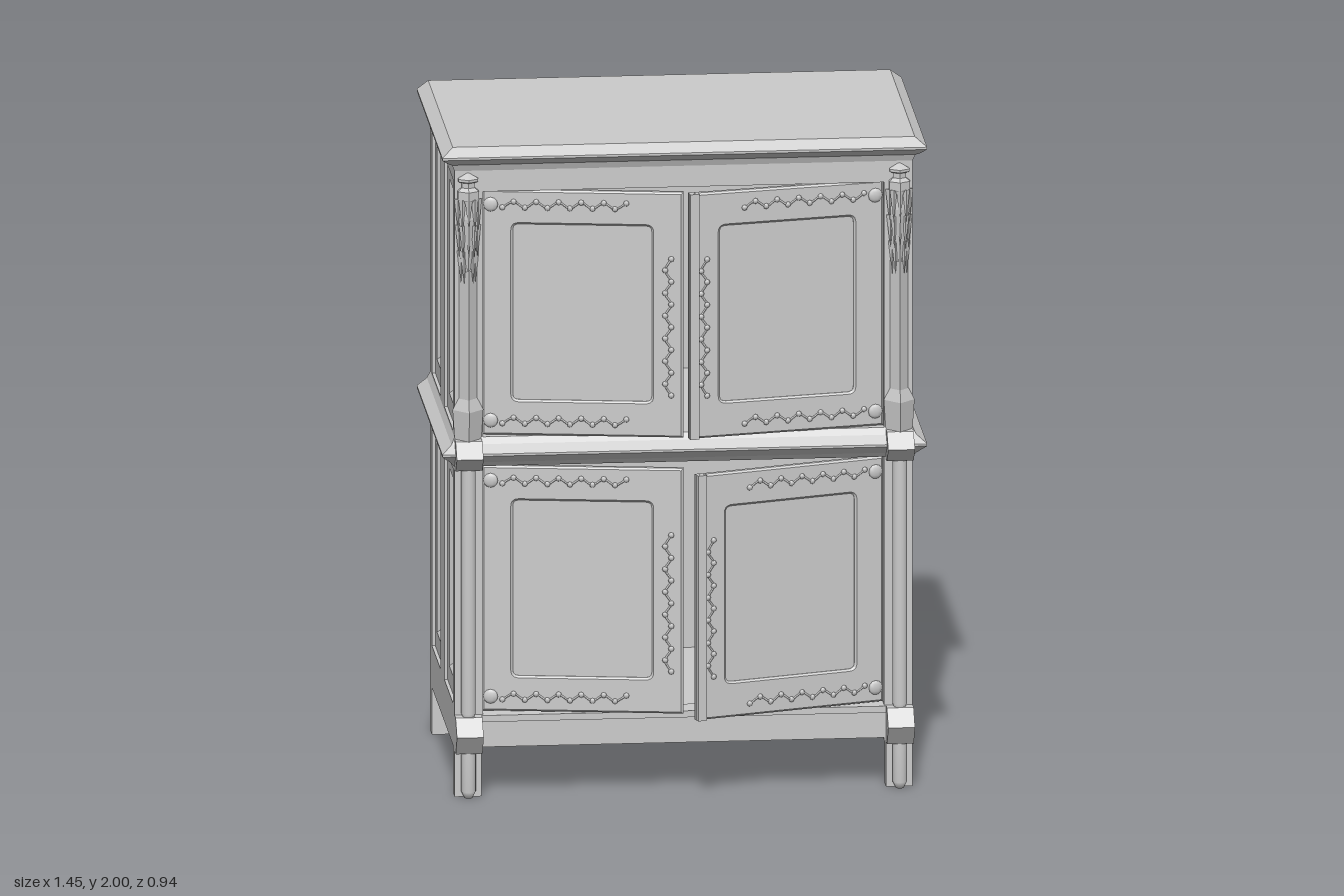
import * as THREE from 'three';

const mat = new THREE.MeshStandardMaterial({ color: 0xcccccc });
const flat = new THREE.MeshStandardMaterial({ color: 0xcccccc, flatShading: true });
const W = 0.685, FRONT = 0.31, BACK = -0.475;

function add(parent, name, geo, x = 0, y = 0, z = 0, m = mat) {
  const mesh = new THREE.Mesh(geo, m);
  mesh.name = name;
  mesh.position.set(x, y, z);
  parent.add(mesh);
  return mesh;
}

// Box given by its two corners
function block(parent, name, x0, x1, y0, y1, z0, z1) {
  return add(parent, name, new THREE.BoxGeometry(Math.abs(x1 - x0), y1 - y0, z1 - z0),
    (x0 + x1) / 2, (y0 + y1) / 2, (z0 + z1) / 2);
}

// Rectangle outline, optionally with rounded corners
function rect(Type, xa, y0, xb, y1, r = 0) {
  const x0 = Math.min(xa, xb), x1 = Math.max(xa, xb);
  const p = new Type();
  p.moveTo(x0 + r, y0);
  p.lineTo(x1 - r, y0);
  if (r) p.quadraticCurveTo(x1, y0, x1, y0 + r);
  p.lineTo(x1, y1 - r);
  if (r) p.quadraticCurveTo(x1, y1, x1 - r, y1);
  p.lineTo(x0 + r, y1);
  if (r) p.quadraticCurveTo(x0, y1, x0, y1 - r);
  p.lineTo(x0, y0 + r);
  if (r) p.quadraticCurveTo(x0, y0, x0 + r, y0);
  return p;
}

// Slab that overhangs the front and sides by a profile of [overhang, y]
function moulding(parent, name, profile) {
  const n = profile.length - 1;
  const box = new THREE.BoxGeometry(2, 2, 2, 1, n, 1);
  const p = box.attributes.position;
  for (let i = 0; i < p.count; i++) {
    const [o, y] = profile[Math.round((p.getY(i) + 1) / 2 * n)];
    p.setXYZ(i, p.getX(i) * (W + o), y, p.getZ(i) > 0 ? FRONT + o : BACK);
  }
  const geo = box.toNonIndexed();
  geo.computeVertexNormals();
  add(parent, name, geo);
}

// Turned or faceted post
function post(parent, name, points, x, z, sides, m = mat) {
  const pts = points.map(([r, y]) => new THREE.Vector2(r, y));
  return add(parent, name, new THREE.LatheGeometry(pts, sides), x, 0, z, m);
}

// Block with a side profile of [z, y], as wide as a corner post
function corbel(parent, name, points, x) {
  const shape = new THREE.Shape(points.map(([z, y]) => new THREE.Vector2(z, y)));
  const geo = new THREE.ExtrudeGeometry(shape, { depth: 0.08, bevelEnabled: false });
  geo.rotateY(-Math.PI / 2);
  add(parent, name, geo, x + 0.04);
}

// Carved wavy stem with leaves, along a line in the door plane
function vine(parent, x0, y0, x1, y1) {
  const dir = new THREE.Vector2(x1 - x0, y1 - y0), len = dir.length();
  dir.normalize();
  const n = Math.round(len / 0.035), pts = [];
  for (let i = 0; i <= n; i++) {
    const t = len * i / n, w = (i % 2 ? 1 : -1) * 0.009;
    const x = x0 + dir.x * t - dir.y * w, y = y0 + dir.y * t + dir.x * w;
    pts.push(new THREE.Vector3(x, y, 0));
    const leaf = add(parent, 'carvedLeaf', new THREE.SphereGeometry(0.009, 6, 4), x, y, 0);
    leaf.scale.set(1, 1, 0.5);
  }
  add(parent, 'carvedStem', new THREE.TubeGeometry(new THREE.CatmullRomCurve3(pts), n * 4, 0.003, 5));
}

// Door hinged at its outer edge; s is the side it hangs on
function door(parent, name, s, y0, y1, degrees) {
  const g = new THREE.Group(), h = y1 - y0, b = 0.006, along = -s;
  g.name = name;
  g.position.set(s * 0.6, y0, 0.285);
  g.rotation.y = s * THREE.MathUtils.degToRad(degrees);
  parent.add(g);
  const frame = rect(THREE.Shape, along * b, b, along * (0.6 - b), h - b);
  frame.holes.push(rect(THREE.Path, along * 0.085, 0.103, along * 0.512, h - 0.1, 0.025));
  const geo = new THREE.ExtrudeGeometry(frame, {
    depth: 0.013, bevelThickness: b, bevelSize: b, bevelSegments: 1, curveSegments: 5,
  });
  add(g, 'doorFrame', geo, 0, 0, -0.019);
  block(g, 'doorPanel', along * 0.07, along * 0.53, 0.09, h - 0.09, -0.018, -0.008);
  if (s > 0) block(g, 'meetingStrip', along * 0.572, along * 0.6, 0, h, -0.005, 0.01);
  vine(g, along * 0.555, 0.13, along * 0.555, 0.55);
  for (const y of [0.045, h - 0.045]) {
    vine(g, along * 0.06, y, along * 0.43, y);
    const rosette = add(g, 'rosette', new THREE.SphereGeometry(0.022, 10, 6), along * 0.025, y, 0);
    rosette.scale.z = 0.35;
  }
}

// Side wall with two sunk panels per storey
function sideWall(parent, s) {
  const layer = (grow, outer, depth, bevel, outerFace) => {
    const shape = rect(THREE.Shape, BACK + outer, 0.145 + outer, FRONT - outer, 1.94 - outer);
    for (const [y0, y1] of [[0.33, 0.94], [1.17, 1.83]])
      for (const z of [0.117, -0.28])
        shape.holes.push(rect(THREE.Path, z - 0.082 - grow, y0 - grow, z + 0.082 + grow, y1 + grow));
    const geo = new THREE.ExtrudeGeometry(shape, {
      depth, bevelEnabled: bevel > 0, bevelThickness: bevel, bevelSize: bevel, bevelSegments: 1,
    });
    geo.rotateY(-Math.PI / 2);
    const total = depth + 2 * bevel;
    add(parent, 'sideFrame', geo, (s > 0 ? outerFace : -outerFace + total) - bevel);
  };
  layer(0.056, 0, 0.01, 0, W);
  layer(0, 0.02, 0.004, 0.012, W - 0.01);
  block(parent, 'sidePanel', s * (W - 0.045), s * (W - 0.03), 0.25, 1.92, BACK + 0.02, FRONT - 0.02);
}

export function createModel() {
  const g = new THREE.Group();
  g.name = 'cabinet';

  // Cornice and waist moulding
  moulding(g, 'cornice', [[0, 1.925], [0.008, 1.945], [0.018, 1.95], [0.04, 1.968], [0.04, 1.975], [0.006, 2]]);
  moulding(g, 'waistMoulding', [[0, 1.015], [0.012, 1.03], [0.04, 1.055], [0.04, 1.062], [0.01, 1.085], [0, 1.105]]);

  // Front rails and cabinet floor
  block(g, 'frieze', -0.61, 0.61, 1.86, 1.93, 0.25, FRONT);
  block(g, 'apron', -0.61, 0.61, 0.15, 0.23, 0.26, FRONT);
  block(g, 'apronLedge', -0.61, 0.61, 0.23, 0.25, 0.24, FRONT + 0.012);
  block(g, 'floor', -0.66, 0.66, 0.225, 0.245, -0.45, 0.29);

  // Back frame with two sunk panels
  const back = rect(THREE.Shape, -W, 0.145, W, 1.95);
  for (const [y0, y1] of [[0.255, 1.0], [1.13, 1.93]])
    back.holes.push(rect(THREE.Path, -0.595, y0, 0.595, y1));
  add(g, 'backFrame', new THREE.ExtrudeGeometry(back, { depth: 0.025, bevelEnabled: false }), 0, 0, BACK);
  block(g, 'backPanel', -0.66, 0.66, 0.24, 1.94, BACK + 0.024, BACK + 0.036);

  for (const s of [1, -1]) {
    const x = s * 0.645;
    sideWall(g, s);

    // Corner posts and legs
    block(g, 'cornerPost', s * 0.6, s * W, 0.14, 1.93, 0.26, FRONT);
    block(g, 'frontLeg', s * 0.605, s * W, 0, 0.15, 0.26, FRONT + 0.005);
    block(g, 'backLeg', s * 0.605, s * W, 0, 0.15, BACK, -0.42);
    post(g, 'legColumn', [[0, 0], [0.012, 0], [0.022, 0.02], [0.022, 0.15]], x, 0.327, 16);

    // Corbels at the base and waist
    corbel(g, 'baseCorbel', [[0.3, 0.14], [0.35, 0.14], [0.39, 0.2], [0.345, 0.25], [0.3, 0.25]], x);
    corbel(g, 'waistCorbel', [[0.3, 1.005], [0.345, 1.01], [0.388, 1.055], [0.345, 1.1], [0.3, 1.1]], x);

    // Lower round column
    post(g, 'lowerColumn', [[0.012, 0.235], [0.022, 0.26], [0.022, 1.02]], x, 0.325, 16);

    // Upper prow-shaped pedestal and shaft
    post(g, 'pedestal', [[0, 1.075], [0.04, 1.1], [0.046, 1.19], [0.028, 1.225]], x, FRONT, 4, flat);
    post(g, 'upperShaft', [[0.027, 1.2], [0.027, 1.62]], x, FRONT, 4, flat);

    // Carved capital with rows of hanging leaves
    post(g, 'capital', [[0.012, 1.56], [0.026, 1.66], [0.032, 1.78], [0.024, 1.82], [0.036, 1.84],
      [0.036, 1.865], [0.022, 1.875], [0.022, 1.89], [0.034, 1.895], [0.034, 1.903], [0, 1.92]], x, 0.308, 6, flat);
    for (const [y, r, h] of [[1.79, 0.032, 0.1], [1.71, 0.029, 0.1], [1.63, 0.023, 0.1]])
      for (let i = -2; i <= 2; i++) {
        const a = i * Math.PI / 5;
        const leaf = add(g, 'capitalLeaf', new THREE.ConeGeometry(0.011, h, 4),
          x + r * Math.sin(a), y, 0.308 + r * Math.cos(a), flat);
        leaf.rotation.set(Math.PI - 0.12, 0, 0);
      }
  }

  // Doors, standing ajar
  door(g, 'upperRightDoor', -1, 1.105, 1.86, 9);
  door(g, 'upperLeftDoor', 1, 1.105, 1.86, 10.7);
  door(g, 'lowerRightDoor', -1, 0.255, 1.01, 9);
  door(g, 'lowerLeftDoor', 1, 0.255, 1.01, 17);
  return g;
}
